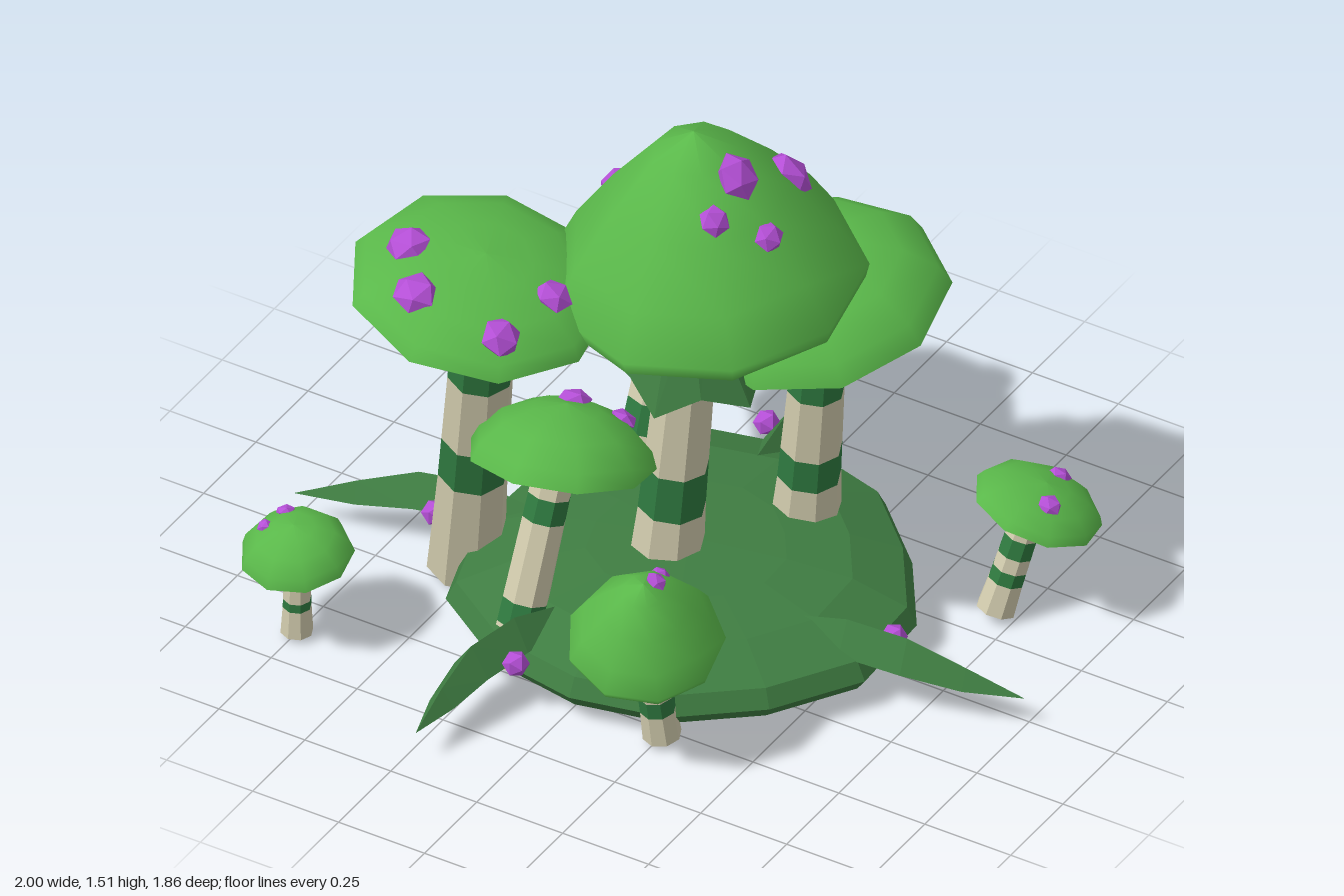
import * as THREE from 'three';

const mat = (name, color, side = THREE.FrontSide) => {
  const m = new THREE.MeshStandardMaterial({ color, side });
  m.name = name;
  return m;
};

export function createModel() {
  const capGreen = mat('cap green', 0x5ab84a);
  const purple = mat('purple', 0xb44fd6);
  const cream = mat('stem cream', 0xd2ccae);
  const bandGreen = mat('band green', 0x2f7a40);
  const leafGreen = mat('leaf green', 0x3f7d42, THREE.DoubleSide);

  const model = new THREE.Group();
  const UP = new THREE.Vector3(0, 1, 0);
  const V = (a) => new THREE.Vector3(...a);
  const add = (parent, name, geo, material) => {
    const m = new THREE.Mesh(geo, material);
    m.name = name;
    parent.add(m);
    return m;
  };
  const flat = (geo) => {
    const g = geo.index ? geo.toNonIndexed() : geo;
    g.computeVertexNormals();
    return g;
  };
  const lathe = (pts, n, rs = 1, hs = 1) =>
    new THREE.LatheGeometry(pts.map(([r, y]) => new THREE.Vector2(r * rs, y * hs)), n);

  // Cap outlines from rim to crown, in units of cap radius and height
  const bell = [[0.97, 0], [1, 0.08], [0.84, 0.32], [0.57, 0.61], [0.27, 0.88], [0, 1]];
  const dome = [[1, 0], [0.93, 0.3], [0.7, 0.66], [0.37, 0.91], [0, 1]];
  const bun = [[0.98, 0], [1, 0.14], [0.93, 0.46], [0.72, 0.78], [0.4, 0.95], [0, 1]];

  // Faceted wart, flattened along its own y
  const wart = (parent, pos, normal, r, turn) => {
    const geo = flat(new THREE.IcosahedronGeometry(r, 0).rotateX(0.55).rotateY(turn).scale(1, 0.6, 1));
    const w = add(parent, 'wart', geo, purple);
    w.position.copy(pos);
    w.quaternion.setFromUnitVectors(UP, normal);
  };

  // Straight leaning stem, cut into cream pieces and green bands
  const stem = (parent, base, top, r0, r1, bands) => {
    const g = new THREE.Group();
    g.name = 'stem';
    const dir = top.clone().sub(base), len = dir.length();
    g.position.copy(base);
    g.quaternion.setFromUnitVectors(UP, dir.normalize());
    const radius = (t) => (t < 0.15 ? r0 + (r1 - r0) * t * 2.5 : r0 + (r1 - r0) * (0.375 + (t - 0.15) * 0.735));
    const cuts = [0, ...bands.flat(), 1];
    for (let i = 0; i < cuts.length - 1; i++) {
      const [a, b] = [cuts[i], cuts[i + 1]];
      const green = i % 2 === 1;
      const geo = new THREE.CylinderGeometry(radius(b), radius(a), (b - a) * len, 8, 1, i > 0);
      geo.translate(0, ((a + b) / 2) * len, 0);
      add(g, green ? 'stemBand' : 'stemPiece', flat(geo), green ? bandGreen : cream);
    }
    parent.add(g);
  };

  // Ragged collar hanging under a cap
  const collar = (parent, pos, normal, rTop, rBottom, h, ragged) => {
    const geo = new THREE.CylinderGeometry(rTop, rBottom, h, 10, 1, true);
    const p = geo.attributes.position;
    for (let i = 0; i < p.count; i++) {
      if (p.getY(i) < 0 && (i % 11) % 2) p.setXYZ(i, p.getX(i) * 0.86, p.getY(i) + ragged, p.getZ(i) * 0.86);
    }
    geo.translate(0, -h / 2, 0);
    const c = add(parent, 'collar', flat(geo), leafGreen);
    c.position.copy(pos);
    c.quaternion.setFromUnitVectors(UP, normal);
  };

  const ray = new THREE.Raycaster();
  const mushroom = (o) => {
    const g = new THREE.Group();
    g.name = o.name;
    const n = V(o.tilt).normalize();
    const cap = new THREE.Group();
    cap.name = 'cap';
    cap.position.copy(V(o.rim));
    cap.quaternion.setFromUnitVectors(UP, n);
    const top = add(cap, 'capTop', lathe(o.shape, 9, o.r, o.h), capGreen);
    const rim = o.shape[0][0];
    add(cap, 'capUnderside', lathe([[0, 0.01], [0.86, -0.045], [rim, 0]], 9, o.r, o.r), purple);
    g.add(cap);
    stem(g, V(o.base), V(o.stemTop), o.r0, o.r1, o.bands);
    if (o.collar) collar(g, V(o.collar.pos), n, ...o.collar.size);
    // Drop each wart straight down onto the cap
    g.updateMatrixWorld(true);
    o.warts.forEach(([x, z, r], i) => {
      ray.set(new THREE.Vector3(x, 5, z), new THREE.Vector3(0, -1, 0));
      const hit = ray.intersectObject(top)[0];
      if (hit) wart(g, hit.point, hit.face.normal.clone().transformDirection(top.matrixWorld), r, i * 1.3);
    });
    model.add(g);
  };

  mushroom({
    name: 'tallMushroom', shape: bell, rim: [0.085, 1.01, 0.03], tilt: [-0.04, 1, 0.08], r: 0.405, h: 0.49,
    base: [-0.03, 0, 0.065], stemTop: [0.06, 1.02, 0.055], r0: 0.105, r1: 0.07, bands: [[0.31, 0.44], [0.68, 0.8]],
    collar: { pos: [0.045, 1.0, 0.06], size: [0.075, 0.205, 0.27, 0.05] },
    warts: [[0.225, -0.13, 0.07], [0.2, 0.08, 0.065], [0.31, 0.11, 0.04], [0.2, 0.19, 0.042], [-0.225, -0.03, 0.045]],
  });
  mushroom({
    name: 'flatMushroom', shape: dome, rim: [-0.375, 1.03, 0.37], tilt: [0.19, 1, 0.04], r: 0.335, h: 0.125,
    base: [-0.53, 0.01, 0.18], stemTop: [-0.37, 1.03, 0.34], r0: 0.1, r1: 0.08, bands: [[0.33, 0.46], [0.68, 0.77]],
    collar: { pos: [-0.37, 1.01, 0.35], size: [0.08, 0.165, 0.05, 0.01] },
    warts: [[-0.54, 0.44, 0.06], [-0.44, 0.57, 0.06], [-0.2, 0.555, 0.055], [-0.165, 0.36, 0.052]],
  });
  mushroom({
    name: 'backMushroom', shape: dome, rim: [0.25, 0.85, -0.235], tilt: [-0.12, 1, 0.2], r: 0.335, h: 0.2,
    base: [0.17, 0, -0.28], stemTop: [0.26, 0.86, -0.23], r0: 0.1, r1: 0.065, bands: [[0.33, 0.44], [0.66, 0.76]],
    warts: [[0.22, 0.03, 0.06]],
  });
  mushroom({
    name: 'bunMushroom', shape: bun, rim: [-0.27, 0.57, -0.4], tilt: [0.06, 1, -0.18], r: 0.3, h: 0.32,
    base: [-0.29, 0.01, -0.25], stemTop: [-0.27, 0.58, -0.4], r0: 0.095, r1: 0.065, bands: [[0.36, 0.5], [0.72, 0.84]],
    warts: [[-0.165, -0.59, 0.065], [-0.09, -0.44, 0.06], [-0.235, -0.455, 0.045], [-0.225, -0.385, 0.048], [-0.22, -0.235, 0.055]],
  });
  mushroom({
    name: 'leaningMushroom', shape: dome, rim: [-0.18, 0.535, 0.3], tilt: [-0.05, 1, -0.3], r: 0.24, h: 0.15,
    base: [-0.21, 0.015, 0.49], stemTop: [-0.18, 0.54, 0.32], r0: 0.065, r1: 0.055, bands: [[0.2, 0.32], [0.72, 0.84]],
    warts: [[-0.2, 0.2, 0.045], [-0.09, 0.15, 0.04], [-0.25, 0.13, 0.035]],
  });
  mushroom({
    name: 'coneMushroom', shape: bell, rim: [0.24, 0.31, 0.585], tilt: [0.14, 1, 0.28], r: 0.2, h: 0.245,
    base: [0.26, 0.005, 0.54], stemTop: [0.24, 0.32, 0.58], r0: 0.05, r1: 0.042, bands: [[0.27, 0.42], [0.68, 0.82]],
    warts: [[0.235, 0.505, 0.025], [0.285, 0.61, 0.03]],
  });
  mushroom({
    name: 'littleMushroomRight', shape: dome, rim: [-0.74, 0.245, 0.643], tilt: [0, 1, 0.16], r: 0.145, h: 0.1,
    base: [-0.745, 0, 0.635], stemTop: [-0.74, 0.25, 0.64], r0: 0.042, r1: 0.032, bands: [[0.32, 0.42], [0.64, 0.76]],
    warts: [[-0.8, 0.6, 0.026], [-0.82, 0.67, 0.02]],
  });
  mushroom({
    name: 'littleMushroomLeft', shape: dome, rim: [0.77, 0.3, -0.418], tilt: [0.28, 1, -0.2], r: 0.17, h: 0.075,
    base: [0.7, 0.01, -0.335], stemTop: [0.76, 0.31, -0.41], r0: 0.052, r1: 0.042, bands: [[0.28, 0.4], [0.53, 0.7]],
    warts: [[0.78, -0.51, 0.032], [0.835, -0.37, 0.032]],
  });

  // Mossy mound with a slightly uneven edge
  const mound = lathe([[0, 0.035], [0.56, 0.035], [0.585, 0.07], [0.56, 0.12], [0.42, 0.175], [0.25, 0.195], [0, 0.205]], 14);
  const mp = mound.attributes.position;
  for (let i = 0; i < mp.count; i++) {
    const a = Math.atan2(mp.getZ(i), mp.getX(i));
    const k = 1 + 0.03 * Math.sin(3 * a + 1) + 0.02 * Math.cos(5 * a);
    mp.setXYZ(i, mp.getX(i) * k, mp.getY(i), mp.getZ(i) * k);
  }
  add(model, 'mound', flat(mound), leafGreen).position.set(0.03, 0, 0.03);

  // Folded leaf: left edge, ridge and right edge along an arched path of [x, z]
  const profile = [[0.17, 0.035], [0.2, 0.055], [0.185, 0.055], [0.13, 0.035], [0.07, 0]];
  const leaf = (path) => {
    const curve = new THREE.CatmullRomCurve3(path.map(([x, z]) => new THREE.Vector3(x, 0, z)));
    const pos = [], idx = [];
    profile.forEach(([y, w], i) => {
      const c = curve.getPoint(i / 4), t = curve.getTangent(i / 4);
      const edge = y - w * 1.4;
      pos.push(c.x - t.z * w, edge, c.z + t.x * w, c.x, y, c.z, c.x + t.z * w, edge, c.z - t.x * w);
      if (i < 4) {
        for (const k of [3 * i, 3 * i + 1]) idx.push(k, k + 1, k + 3, k + 1, k + 4, k + 3);
      }
    });
    const geo = new THREE.BufferGeometry();
    geo.setAttribute('position', new THREE.Float32BufferAttribute(pos, 3));
    geo.setIndex(idx);
    add(model, 'leaf', flat(geo), leafGreen);
  };
  leaf([[-0.38, 0.09], [-0.7, 0.125], [-1, 0.23]]);
  leaf([[0.38, 0.14], [0.7, 0.09], [1, 0.02]]);
  leaf([[-0.02, -0.35], [-0.045, -0.65], [-0.155, -0.93]]);
  leaf([[-0.12, 0.4], [-0.21, 0.68], [-0.22, 0.93]]);

  // Berries beside the leaves
  for (const [x, z] of [[-0.62, 0.18], [0.625, 0.03], [-0.12, 0.615], [-0.11, -0.57]]) {
    const b = add(model, 'berry', flat(new THREE.IcosahedronGeometry(0.035, 0)), purple);
    b.position.set(x, 0.125, z);
  }
  return model;
}
